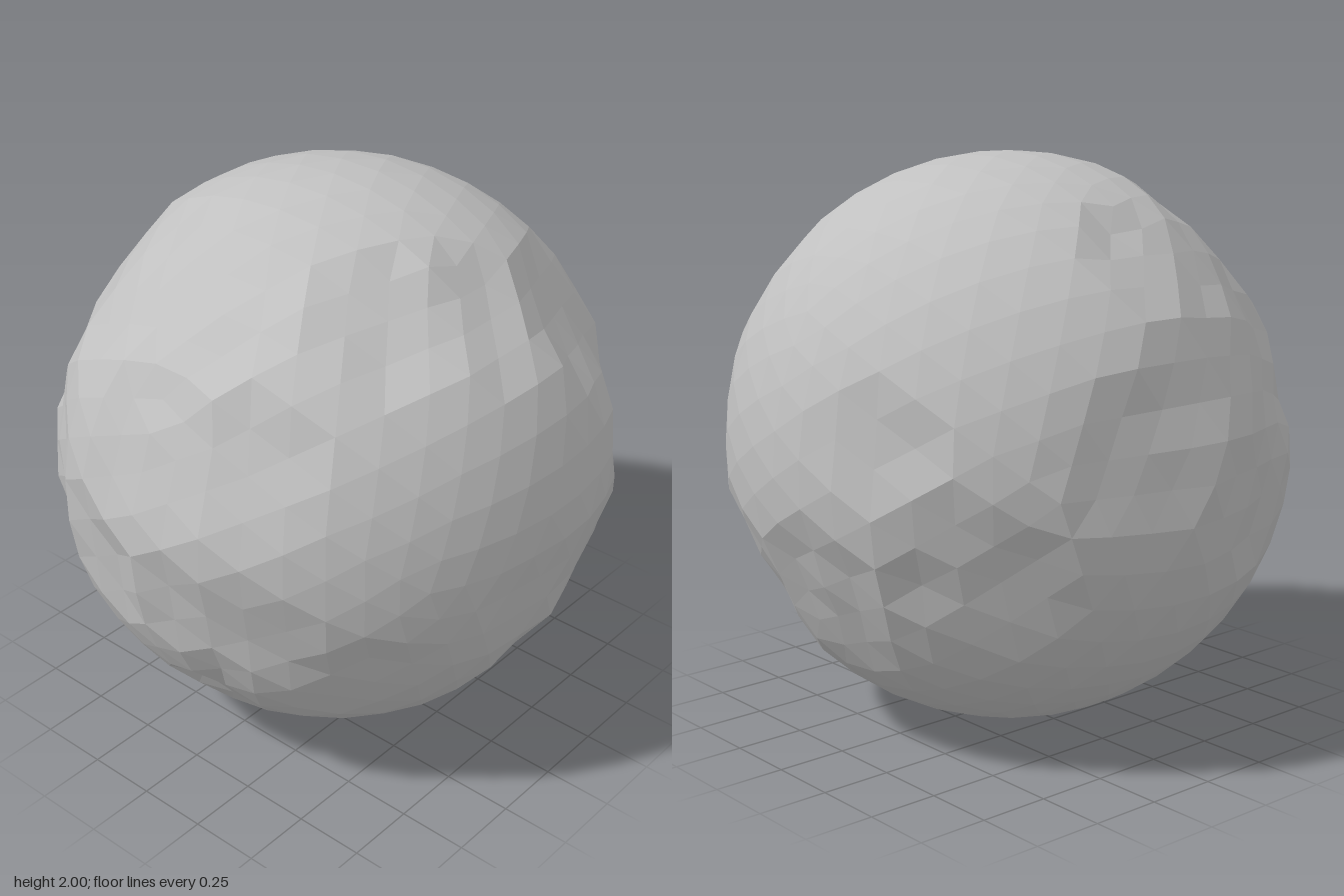
import * as THREE from 'three';

// Repeatable 0..1 value for a point, so shared corners move together
function hash(v) {
  const q = (n) => Math.round(n * 1000);
  const s = Math.sin(q(v.x) * 0.1271 + q(v.y) * 0.3117 + q(v.z) * 0.0747) * 43758.5453;
  return s - Math.floor(s);
}

// Shallow hollows: direction x, y, z, then reach and depth
const hollows = [
  // troughs and pockets across the front
  [-0.55, -0.15, 0.8, 0.2, 0.035], [-0.2, -0.12, 0.97, 0.2, 0.035],
  [0.2, -0.18, 0.95, 0.2, 0.03], [0.45, -0.22, 0.87, 0.2, 0.035],
  [0.1, -0.62, 0.78, 0.14, 0.035], [0.24, -0.45, 0.86, 0.13, 0.035],
  // upper front and its edges
  [0, 0.4, 0.92, 0.28, 0.03], [0, 0.76, 0.65, 0.3, 0.03],
  [-0.8, 0.45, 0.4, 0.46, 0.045], [-0.6, 0.12, 0.78, 0.24, 0.04],
  [-0.4, 0.7, 0.55, 0.35, 0.035], [0.35, 0.4, 0.85, 0.24, 0.03],
  [-0.93, 0.3, -0.02, 0.24, 0.035], [-0.7, 0.7, 0, 0.24, 0.035],
  [0.55, 0.76, 0.33, 0.24, 0.045], [0.66, 0.74, 0, 0.22, 0.045],
  // right side
  [0.7, 0.55, -0.42, 0.3, 0.055], [0.72, 0.08, -0.68, 0.28, 0.055],
  [0.95, -0.2, 0.1, 0.24, 0.03], [0.9, -0.3, -0.3, 0.25, 0.03],
  [0.75, -0.62, -0.1, 0.28, 0.035], [0.65, -0.4, 0.62, 0.24, 0.03],
  // back and underside
  [0.4, -0.45, -0.8, 0.3, 0.04], [-0.12, -0.4, -0.9, 0.28, 0.035],
  [-0.65, -0.3, -0.7, 0.3, 0.04], [-0.42, 0.15, -0.9, 0.2, 0.03],
  [0.22, -0.95, 0.15, 0.22, 0.035],
  // left side
  [-0.95, -0.1, 0.28, 0.26, 0.035], [-0.95, 0.1, -0.28, 0.26, 0.035],
].map(([x, y, z, reach, depth]) => ({ dir: new THREE.Vector3(x, y, z).normalize(), reach, depth }));

export function createModel() {
  const group = new THREE.Group();
  group.name = 'rockyGlobe';

  const stone = new THREE.MeshStandardMaterial({ color: 0xc0c0c0, flatShading: true });
  stone.name = 'grey stone';

  // Faceted ball, pressed in and roughened around each hollow
  const geometry = new THREE.IcosahedronGeometry(1, 7);
  const pos = geometry.attributes.position;
  const v = new THREE.Vector3();
  for (let i = 0; i < pos.count; i++) {
    v.fromBufferAttribute(pos, i).normalize();
    let dent = 0;
    for (const h of hollows) {
      const fall = 1 - THREE.MathUtils.smoothstep(v.angleTo(h.dir), h.reach * 0.55, h.reach * 1.1);
      dent = Math.max(dent, h.depth * fall);
    }
    v.multiplyScalar(1 - dent * (0.75 + 0.5 * hash(v)));
    pos.setXYZ(i, v.x, v.y, v.z);
  }

  // Stand it on the ground
  geometry.computeBoundingBox();
  geometry.translate(0, -geometry.boundingBox.min.y, 0);
  geometry.computeVertexNormals();

  const globe = new THREE.Mesh(geometry, stone);
  globe.name = 'globe';
  group.add(globe);
  return group;
}
